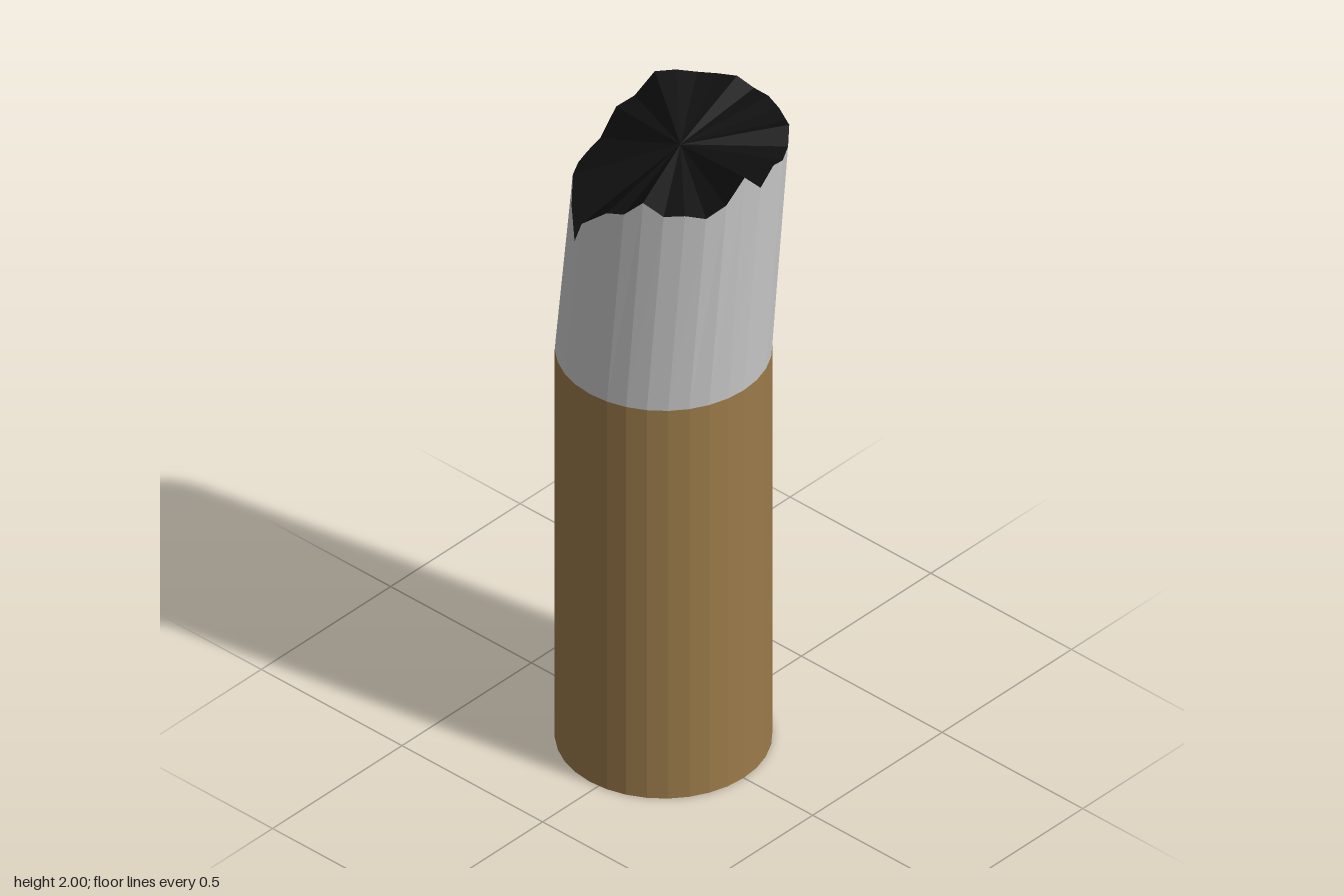
import * as THREE from 'three';

const SIDES = 32, RADIUS = 0.285, SEAM_Y = 1.255, BASE_Z = -0.03, TOP_Z = 0.03;

// Height of the ragged burnt rim at each side, starting at the front and going towards +x
const RIM = [
  1.94, 1.98, 1.96, 1.965, 1.995, 1.97, 1.97, 1.975, 1.97, 1.985, 1.975,
  1.97, 1.975, 1.975, 1.91, 1.895, 1.82, 1.81, 1.81, 1.81, 1.75, 1.675,
  1.77, 1.82, 1.87, 1.89, 1.945, 1.91, 1.915, 1.9, 1.93, 2.0,
];

// Ring of points around (0, z), with a height per side
function ring(z, heightAt) {
  return Array.from({ length: SIDES }, (_, i) => {
    const a = (i / SIDES) * Math.PI * 2;
    return [RADIUS * Math.sin(a), heightAt(i), z + RADIUS * Math.cos(a)];
  });
}

function meshFrom(name, triangles, color) {
  const geometry = new THREE.BufferGeometry();
  geometry.setAttribute('position', new THREE.Float32BufferAttribute(triangles.flat(), 3));
  geometry.computeVertexNormals();
  const mesh = new THREE.Mesh(geometry, new THREE.MeshStandardMaterial({ color, flatShading: true }));
  mesh.name = name;
  return mesh;
}

// Wall between two rings, facing outwards
function wall(lower, upper) {
  const t = [];
  for (let i = 0; i < SIDES; i++) {
    const j = (i + 1) % SIDES;
    t.push(lower[i], lower[j], upper[j], lower[i], upper[j], upper[i]);
  }
  return t;
}

// Fan from a ring to a centre point, facing up or down
function fan(points, centre, up) {
  const t = [];
  for (let i = 0; i < SIDES; i++) {
    const a = points[i], b = points[(i + 1) % SIDES];
    t.push(centre, ...(up ? [a, b] : [b, a]));
  }
  return t;
}

export function createModel() {
  const model = new THREE.Group();
  model.name = 'cigaretteButt';

  const bottom = ring(BASE_Z, () => 0);
  const seam = ring(BASE_Z, () => SEAM_Y);
  const rim = ring(TOP_Z, (i) => RIM[i]);

  model.add(
    meshFrom('filterEnd', fan(bottom, [0, 0, BASE_Z], false), 0xcccccc),
    meshFrom('filterWrap', wall(bottom, seam), 0x9b7b4a),
    meshFrom('bentPaper', wall(seam, rim), 0xcccccc),
    meshFrom('burntEnd', fan(rim, [0, 1.94, TOP_Z], true), 0x101010),
  );
  return model;
}
